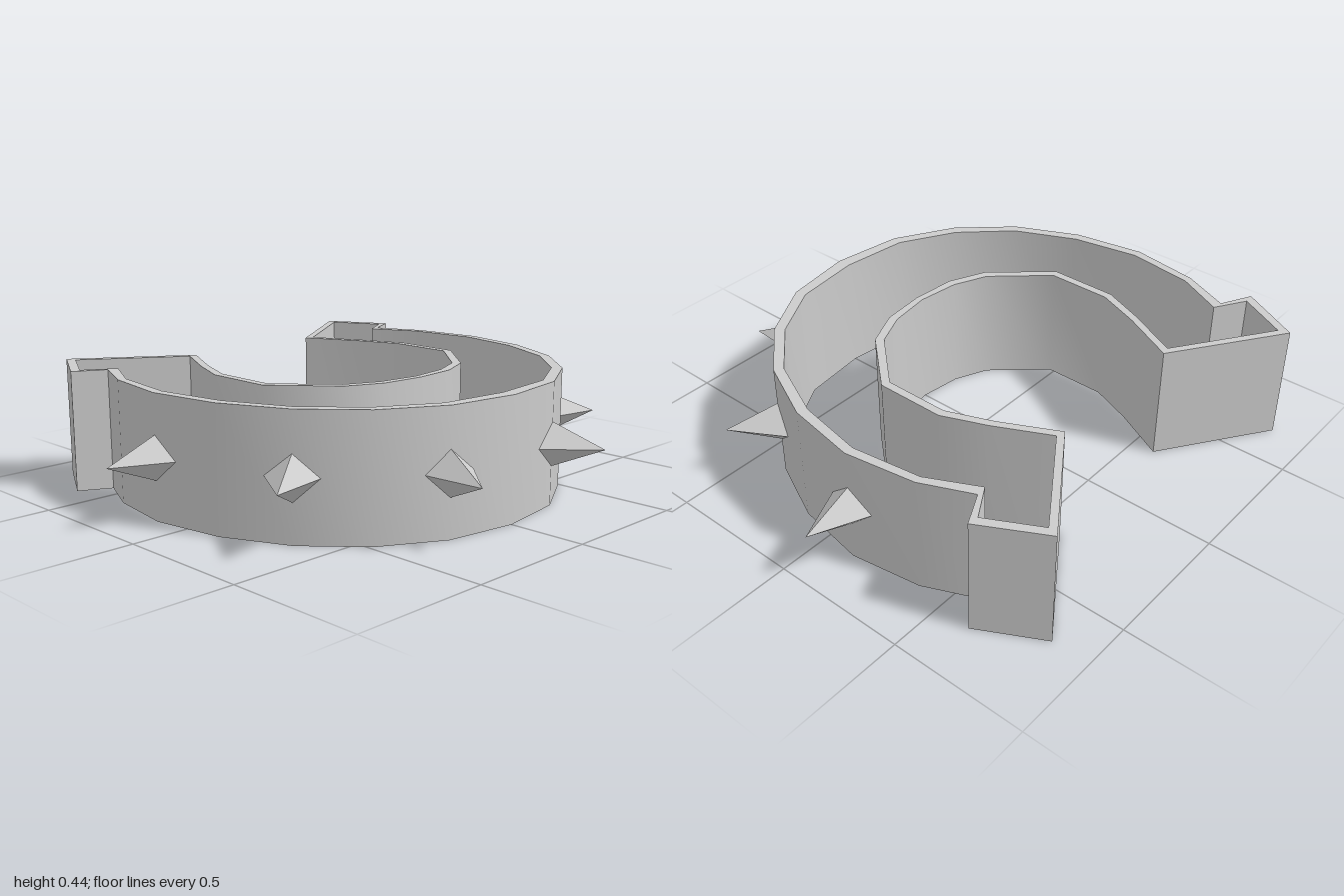
import * as THREE from 'three';
import { toCreasedNormals } from 'three/addons/utils/BufferGeometryUtils.js';

const HEIGHT = 0.44;

// Half outlines in [x, z], from the front centre round the end block to the inner centre
const OUTSIDE = [
  [0, 0.72], [0.265, 0.68], [0.485, 0.555], [0.655, 0.37], [0.765, 0.135], [0.81, -0.13],
  [0.77, -0.39], [0.69, -0.57], [0.805, -0.63], [0.68, -0.86], [0.283, -0.588],
  [0.385, -0.385], [0.45, -0.22], [0.45, 0.02], [0.28, 0.21], [0.155, 0.265], [0, 0.285],
];
const INSIDE = [
  [0, 0.67], [0.255, 0.64], [0.46, 0.525], [0.625, 0.35], [0.73, 0.12], [0.775, -0.13],
  [0.74, -0.385], [0.65, -0.565], [0.765, -0.635], [0.667, -0.818], [0.318, -0.58],
  [0.415, -0.385], [0.48, -0.225], [0.48, 0.03], [0.3, 0.235], [0.165, 0.295], [0, 0.31],
];

// Mirror a half outline into a closed loop
function loop(half) {
  const mirrored = half.slice(1, -1).reverse().map(([x, z]) => [-x, z]);
  return [...half, ...mirrored].map(([x, z]) => new THREE.Vector2(x, -z));
}

// Four-sided spike: tip, wall column it sits on, and its two side corners, all [x, z]
function spikeGeometry(tip, column, front, back, side) {
  const mid = HEIGHT / 2;
  const at = ([x, z], y) => [x * side, y, z];
  const apex = at(tip, mid);
  const ring = [at(column, mid + 0.08), at(front, mid), at(column, mid - 0.08), at(back, mid)];
  const pos = [];
  for (let i = 0; i < 4; i++) {
    const a = ring[i], b = ring[(i + 1) % 4];
    pos.push(...apex, ...(side > 0 ? [...b, ...a] : [...a, ...b]));
  }
  // Wind every face outward from the base
  const g = new THREE.BufferGeometry();
  g.setAttribute('position', new THREE.Float32BufferAttribute(pos, 3));
  g.computeVertexNormals();
  return g;
}

export function createModel() {
  const group = new THREE.Group();
  const material = new THREE.MeshStandardMaterial({ color: 0xcccccc });
  const spikeMaterial = new THREE.MeshStandardMaterial({
    color: 0xcccccc, flatShading: true, side: THREE.DoubleSide,
  });

  // Thin horseshoe wall, open at top and bottom
  const shape = new THREE.Shape(loop(OUTSIDE));
  shape.holes.push(new THREE.Path(loop(INSIDE)));
  const wall = new THREE.ExtrudeGeometry(shape, { depth: HEIGHT, bevelEnabled: false });
  wall.rotateX(-Math.PI / 2);
  const wallMesh = new THREE.Mesh(toCreasedNormals(wall, 0.85), material);
  wallMesh.name = 'horseshoeWall';
  group.add(wallMesh);

  // Three spikes on each side
  const spikes = [
    { name: 'sideSpike', tip: [1, -0.13], column: [0.805, -0.13], front: [0.793, -0.04], back: [0.793, -0.22] },
    { name: 'cornerSpike', tip: [0.81, 0.475], column: [0.653, 0.368], front: [0.595, 0.435], back: [0.695, 0.28] },
    { name: 'frontSpike', tip: [0.325, 0.857], column: [0.265, 0.677], front: [0.17, 0.692], back: [0.34, 0.635] },
  ];
  for (const { name, tip, column, front, back } of spikes) {
    for (const side of [1, -1]) {
      const mesh = new THREE.Mesh(spikeGeometry(tip, column, front, back, side), spikeMaterial);
      mesh.name = (side > 0 ? 'left' : 'right') + name[0].toUpperCase() + name.slice(1);
      group.add(mesh);
    }
  }
  return group;
}
